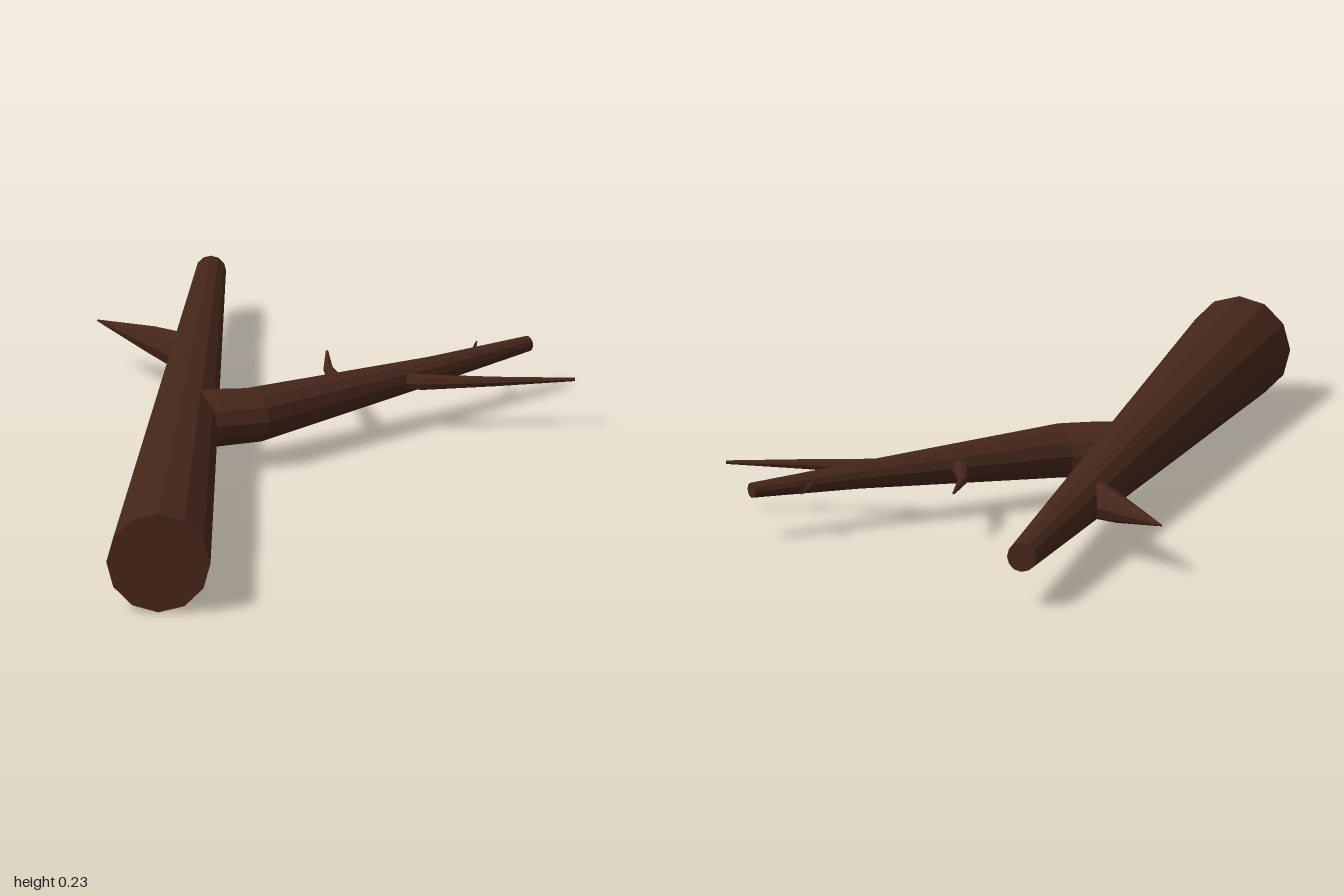
import * as THREE from 'three';

const AXIS_Y = 0.117; // every limb lies in one horizontal plane

// Tapered limb through [x, z, radius] stations, with closed ends.
function limb(name, stations, sides, material) {
  const positions = [];
  const index = [];
  const last = stations.length - 1;
  stations.forEach(([x, z, r], i) => {
    const a = stations[Math.max(i - 1, 0)];
    const b = stations[Math.min(i + 1, last)];
    const t = new THREE.Vector2(b[0] - a[0], b[1] - a[1]).normalize();
    for (let j = 0; j < sides; j++) {
      const angle = (j / sides) * Math.PI * 2;
      const c = Math.cos(angle) * r;
      positions.push(x + t.y * c, AXIS_Y + Math.sin(angle) * r, z - t.x * c);
    }
  });
  for (let i = 0; i < last; i++) {
    for (let j = 0; j < sides; j++) {
      const k = (j + 1) % sides;
      const p = i * sides;
      const q = p + sides;
      index.push(p + j, p + k, q + j, p + k, q + k, q + j);
    }
  }
  // End caps
  const end = last * sides;
  for (let j = 1; j < sides - 1; j++) {
    index.push(0, j + 1, j, end, end + j, end + j + 1);
  }
  const geometry = new THREE.BufferGeometry();
  geometry.setAttribute('position', new THREE.Float32BufferAttribute(positions, 3));
  geometry.setIndex(index);
  geometry.computeVertexNormals();
  const mesh = new THREE.Mesh(geometry, material);
  mesh.name = name;
  return mesh;
}

export function createModel() {
  const group = new THREE.Group();
  group.name = 'fallenBranch';
  const bark = new THREE.MeshStandardMaterial({ color: 0x45261a, flatShading: true });

  group.add(
    // Main trunk lying along z
    limb('trunk', [[-0.305, 1, 0.114], [-0.305, -1, 0.033]], 12, bark),
    // Large side branch with an elbow near the trunk
    limb('sideBranch', [[-0.27, 0.01, 0.064], [-0.235, 0.004, 0.064], [-0.155, -0.02, 0.061],
      [0.22, -0.35, 0.03], [0.415, -0.54, 0.017]], 12, bark),
    // Short pointed stub on the other side of the trunk
    limb('stub', [[-0.33, -0.44, 0.044], [-0.4, -0.515, 0.032], [-0.532, -0.643, 0.002]], 8, bark),
    // Twigs growing from the side branch
    limb('outerTwig', [[0.16, -0.275, 0.02], [0.2, -0.263, 0.018], [0.36, -0.277, 0.011],
      [0.531, -0.301, 0.004]], 8, bark),
    limb('innerTwig', [[0.045, -0.19, 0.021], [0.015, -0.25, 0.017], [-0.01, -0.335, 0.011],
      [-0.02, -0.46, 0.003]], 8, bark),
    limb('tipTwig', [[0.305, -0.42, 0.011], [0.298, -0.475, 0.006], [0.302, -0.545, 0.002]], 6, bark),
  );
  return group;
}
